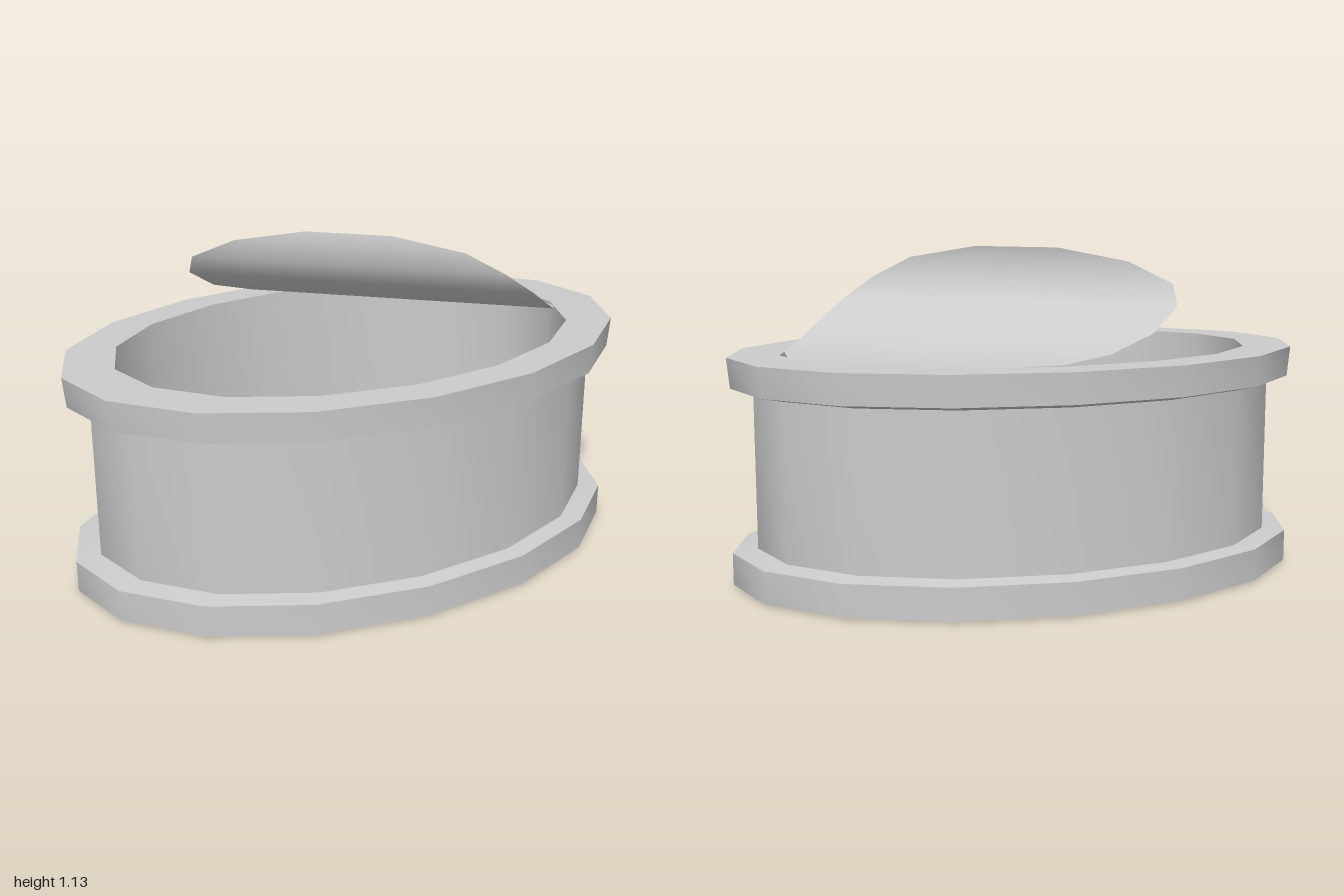
import * as THREE from 'three';
import { toCreasedNormals } from 'three/addons/utils/BufferGeometryUtils.js';

const SIDES = 16;
const DEPTH = 0.64; // oval: depth relative to width

const grey = new THREE.MeshStandardMaterial({ color: 0xcccccc });
const sheet = new THREE.MeshStandardMaterial({ color: 0xcccccc, side: THREE.DoubleSide });

// Oval ring or shell turned from a [radius, height] profile
function ovalLathe(name, profile) {
  const points = profile.map(([r, y]) => new THREE.Vector2(r, y));
  const geometry = new THREE.LatheGeometry(points, SIDES);
  geometry.scale(1, 1, DEPTH);
  const mesh = new THREE.Mesh(toCreasedNormals(geometry, 0.75), grey);
  mesh.name = name;
  return mesh;
}

// Peeled lid: straight across, curling up from the rim until it stands upright
function createLid() {
  // [offset across the fold, height, start and end along the fold]
  const stations = [
    [-0.635, 0.775, 0.22, 0.38],
    [-0.56, 0.775, -0.06, 0.59],
    [-0.43, 0.785, -0.31, 0.68],
    [-0.32, 0.81, -0.43, 0.685],
    [-0.18, 0.865, -0.53, 0.68],
    [-0.06, 0.945, -0.58, 0.63],
    [-0.02, 1.015, -0.555, 0.54],
    [-0.012, 1.085, -0.4, 0.4],
    [-0.02, 1.128, -0.15, 0.15],
  ];
  const along = new THREE.Vector2(0.805, 0.593);
  const across = new THREE.Vector2(-0.593, 0.805);
  const columns = 6;
  const positions = [];
  const indices = [];
  stations.forEach(([s, y, t0, t1], i) => {
    for (let j = 0; j <= columns; j++) {
      const t = THREE.MathUtils.lerp(t0, t1, j / columns);
      positions.push(along.x * t + across.x * s, y, along.y * t + across.y * s);
      if (i === 0 || j === 0) continue;
      const d = positions.length / 3 - 1;
      const c = d - 1;
      const b = d - columns - 1;
      const a = b - 1;
      indices.push(a, c, b, b, c, d);
    }
  });
  const geometry = new THREE.BufferGeometry();
  geometry.setAttribute('position', new THREE.Float32BufferAttribute(positions, 3));
  geometry.setIndex(indices);
  geometry.computeVertexNormals();
  const mesh = new THREE.Mesh(geometry, sheet);
  mesh.name = 'peeledLid';
  return mesh;
}

export function createModel() {
  const group = new THREE.Group();
  group.name = 'openOvalTin';
  group.add(
    // Recessed base and its rim
    ovalLathe('baseRim', [[0, 0.04], [0.82, 0.04], [0.825, 0], [1, 0.005], [1, 0.115], [0.915, 0.125]]),
    // Outer wall
    ovalLathe('wall', [[0.915, 0.12], [0.915, 0.665]]),
    // Upper rim, running down the inside to the floor
    ovalLathe('topRimAndInside', [
      [0.915, 0.66], [0.99, 0.675], [1, 0.778], [0.825, 0.78], [0.825, 0.07], [0, 0.07],
    ]),
    createLid(),
  );
  return group;
}
